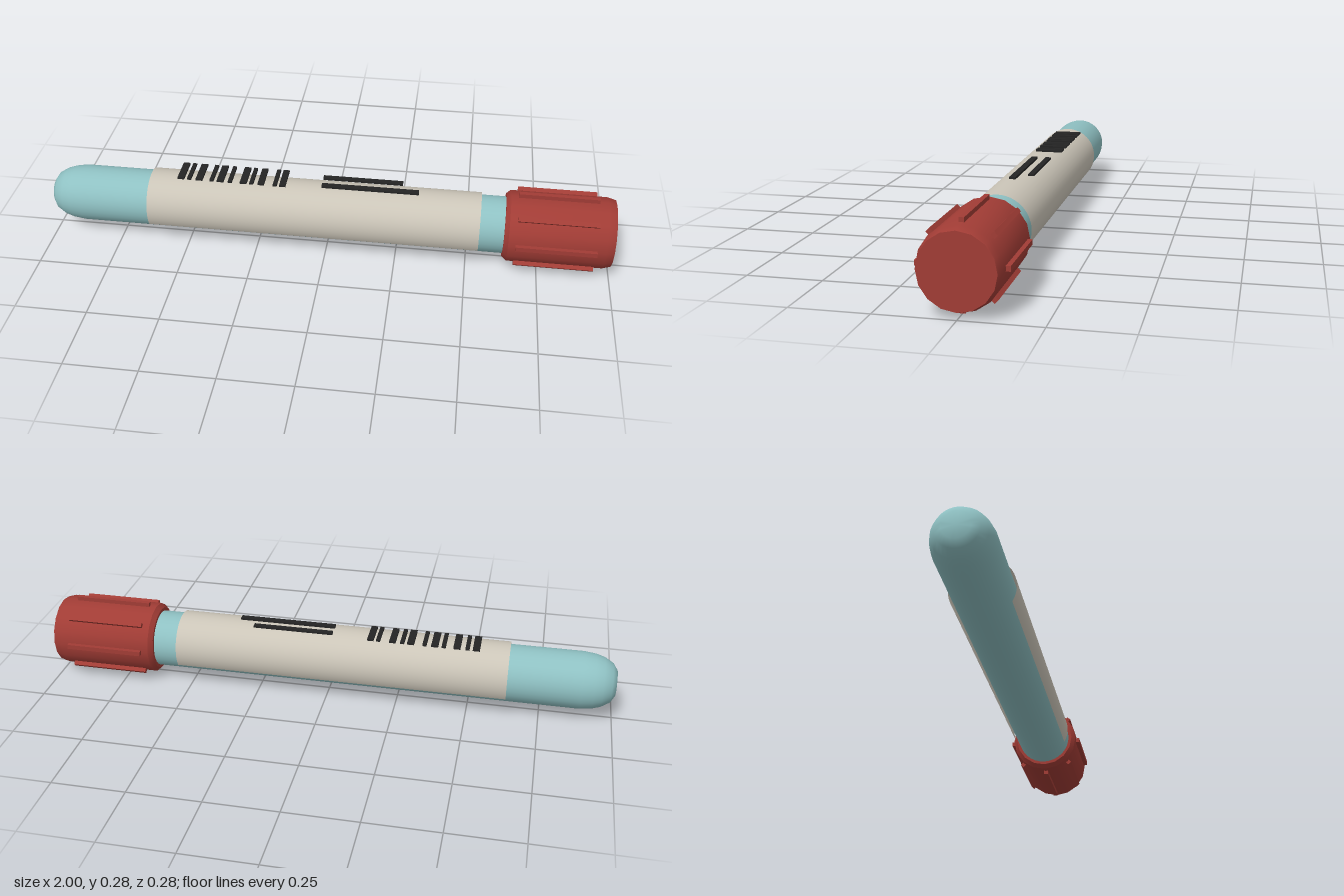
import * as THREE from 'three';
import { toCreasedNormals } from 'three/addons/utils/BufferGeometryUtils.js';

const AXIS_Y = 0.139;

// Turn a profile of [x, radius] points around the long axis of the tube
function turned(profile, sides, crease) {
  const points = profile.map(([x, r]) => new THREE.Vector2(r, x));
  const geometry = new THREE.LatheGeometry(points, sides).rotateZ(-Math.PI / 2);
  return toCreasedNormals(geometry, crease);
}

export function createModel() {
  const material = (name, color, side = THREE.FrontSide) => {
    const m = new THREE.MeshStandardMaterial({ color, side });
    m.name = name;
    return m;
  };
  const teal = material('teal', 0x8fc1c3);
  const cream = material('cream', 0xcbc5b8, THREE.DoubleSide);
  const red = material('red', 0xa13c35);
  const ink = material('ink', 0x242424);

  const model = new THREE.Group();
  model.name = 'sampleTube';
  const add = (name, geometry, mat, parent = model) => {
    const mesh = new THREE.Mesh(geometry, mat);
    mesh.name = name;
    parent.add(mesh);
    return mesh;
  };

  // Tube body with a rounded closed end
  add('tube', turned([
    [-1, 0], [-1, 0.045], [-0.985, 0.068], [-0.955, 0.086], [-0.925, 0.095],
    [-0.885, 0.1], [0.66, 0.1], [0.66, 0],
  ], 32, 0.65), teal).position.y = AXIS_Y;

  // Screw cap with chamfered rims
  const cap = new THREE.Group();
  cap.name = 'cap';
  cap.position.y = AXIS_Y;
  model.add(cap);
  add('capBody', turned([
    [0.625, 0], [0.625, 0.112], [0.64, 0.126], [0.97, 0.126], [0.995, 0.119], [1, 0.117], [1, 0],
  ], 16, 0.5), red, cap);

  // Grip ribs around the cap
  for (let i = 0; i < 8; i++) {
    const rib = new THREE.BoxGeometry(0.275, 0.022, 0.016);
    rib.translate(0.803, 0.128, 0).rotateX(i * Math.PI / 4);
    add('gripRib', rib, red, cap);
  }

  // Paper label wrapped over the upper two thirds of the tube
  const wrap = new THREE.CylinderGeometry(0.108, 0.108, 1.175, 32, 1, true, Math.PI * 5 / 6, Math.PI * 4 / 3);
  add('label', wrap.rotateZ(-Math.PI / 2), cream).position.set(-0.0475, AXIS_Y, 0);

  // Flat printed marks on top of the label
  const mark = (name, x0, x1, z0, z1) => {
    add(name, new THREE.BoxGeometry(x1 - x0, 0.007, z1 - z0), ink)
      .position.set((x0 + x1) / 2, 0.2505, (z0 + z1) / 2);
  };

  // Barcode: centre and width of each bar
  const bars = [
    [-0.522, 0.024], [-0.492, 0.014], [-0.456, 0.024], [-0.411, 0.014], [-0.38, 0.024], [-0.345, 0.014],
    [-0.297, 0.024], [-0.268, 0.014], [-0.234, 0.022], [-0.184, 0.014], [-0.157, 0.022],
  ];
  bars.forEach(([x, w]) => mark('barcodeBar', x - w / 2, x + w / 2, -0.068, 0.03));

  // Two ruled lines
  mark('printedLine', -0.02, 0.263, -0.054, -0.034);
  mark('printedLine', -0.02, 0.322, -0.005, 0.017);

  return model;
}
